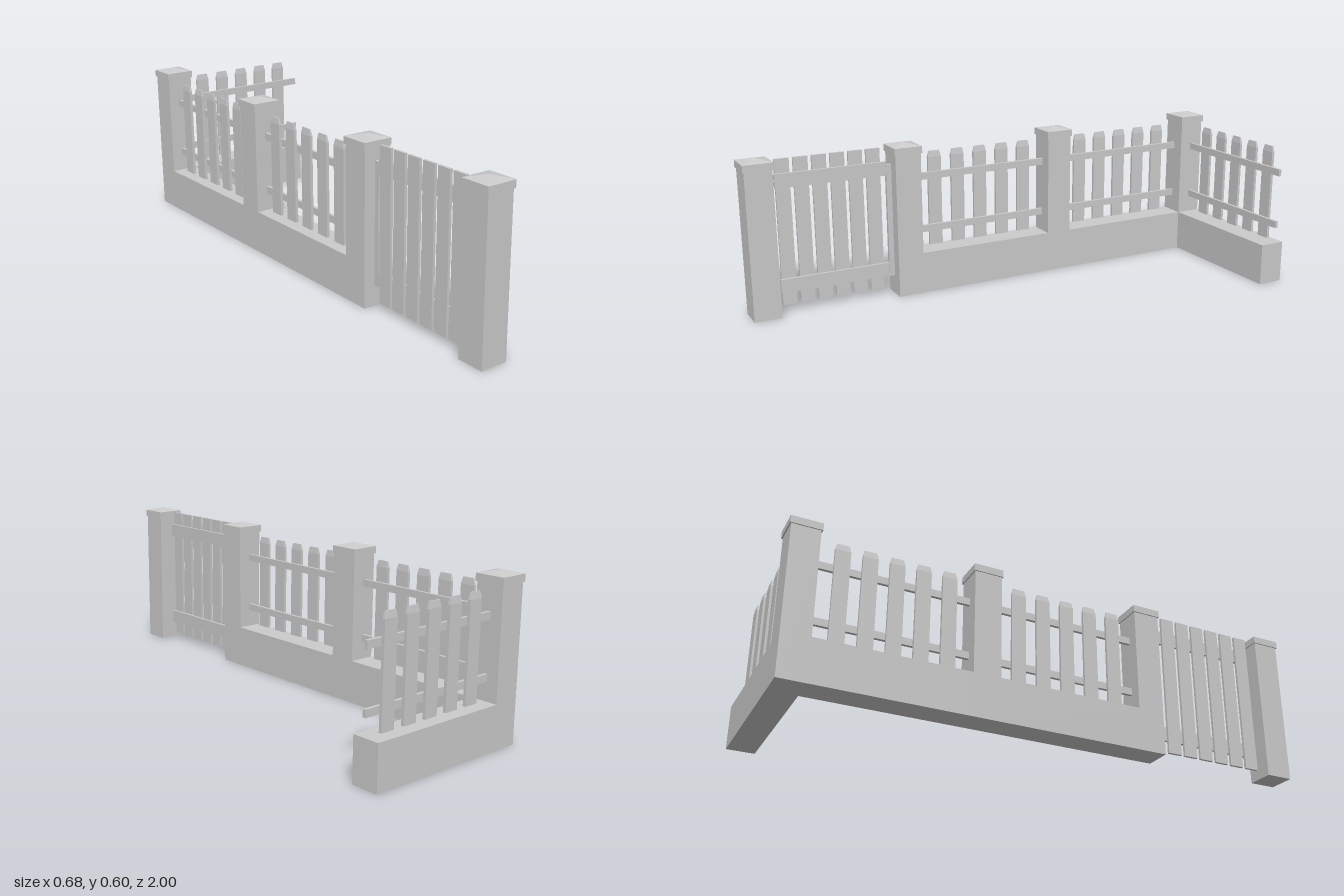
import * as THREE from 'three';

const material = new THREE.MeshStandardMaterial({ color: 0xcccccc, flatShading: true });

function add(parent, name, geometry, x = 0, y = 0, z = 0) {
  const mesh = new THREE.Mesh(geometry, material);
  mesh.name = name;
  mesh.position.set(x, y, z);
  parent.add(mesh);
  return mesh;
}

// Box given by its lower and upper limits on each axis
function block(parent, name, [x0, x1], [y0, y1], [z0, z1]) {
  const geometry = new THREE.BoxGeometry(x1 - x0, y1 - y0, z1 - z0);
  return add(parent, name, geometry, (x0 + x1) / 2, (y0 + y1) / 2, (z0 + z1) / 2);
}

// Flat board whose tip tapers inwards on all four sides
function picketGeometry() {
  const bottom = 0.173, shoulder = 0.525, top = 0.549;
  const g = new THREE.BoxGeometry(0.055, 1, 0.011, 1, 2, 1);
  const p = g.attributes.position;
  for (let i = 0; i < p.count; i++) {
    const y = p.getY(i);
    if (y > 0.25) p.setXYZ(i, p.getX(i) * 0.8, top, p.getZ(i) * 0.4);
    else p.setY(i, y < -0.25 ? bottom : shoulder);
  }
  g.computeVertexNormals();
  return g;
}

// Square post with a slab and a low pyramid on top
function makePost(z) {
  const post = new THREE.Group();
  post.name = 'post';
  post.position.set(-0.282, 0, z);
  const h = 0.0515, c = 0.056;
  block(post, 'postShaft', [-h, h], [0, 0.56], [-h, h]);
  block(post, 'capSlab', [-c, c], [0.56, 0.587], [-c, c]);
  const roof = new THREE.ConeGeometry(c * Math.SQRT2, 0.013, 4, 1, true);
  roof.rotateY(Math.PI / 4);
  add(post, 'capRoof', roof, 0, 0.5935, 0);
  return post;
}

// Fence bay running along local x, rails on the local +z side
function makeBay(length, railLength, firstPicket) {
  const bay = new THREE.Group();
  bay.name = 'fenceBay';
  block(bay, 'lowWall', [0, length], [0, 0.163], [-0.0515, 0.0515]);
  for (const y of [0.231, 0.442]) {
    block(bay, 'rail', [0, railLength], [y, y + 0.027], [-0.009, 0.003]);
  }
  const board = picketGeometry();
  for (let i = 0; i < 5; i++) add(bay, 'picket', board, firstPicket + i * 0.0975, 0, -0.0145);
  return bay;
}

// Gate of flat boards with two cross rails and a hinge stile
function makeGate() {
  const gate = new THREE.Group();
  gate.name = 'gate';
  for (let i = 0; i < 6; i++) {
    const z = 0.495 + i * 0.0695;
    block(gate, 'gateBoard', [-0.301, -0.291], [0.025, 0.583], [z - 0.0275, z + 0.0275]);
  }
  for (const y of [0.075, 0.476]) {
    block(gate, 'gateRail', [-0.291, -0.28], [y, y + 0.054], [0.449, 0.876]);
  }
  block(gate, 'hingeStile', [-0.291, -0.277], [0.075, 0.519], [0.4275, 0.449]);
  return gate;
}

export function createModel() {
  const model = new THREE.Group();
  model.name = 'gardenFence';

  for (const z of [0.944, 0.377, -0.282, -0.945]) model.add(makePost(z));

  // Two bays between the side posts
  for (const [z, length] of [[0.3255, 0.556], [-0.3335, 0.56]]) {
    const bay = makeBay(length, length, 0.082);
    bay.rotation.y = Math.PI / 2;
    bay.position.set(-0.282, 0, z);
    model.add(bay);
  }

  // Open-ended bay turning the corner
  const end = makeBay(0.5555, 0.568, 0.092);
  end.position.set(-0.2305, 0, -0.945);
  model.add(end);

  model.add(makeGate());
  return model;
}
